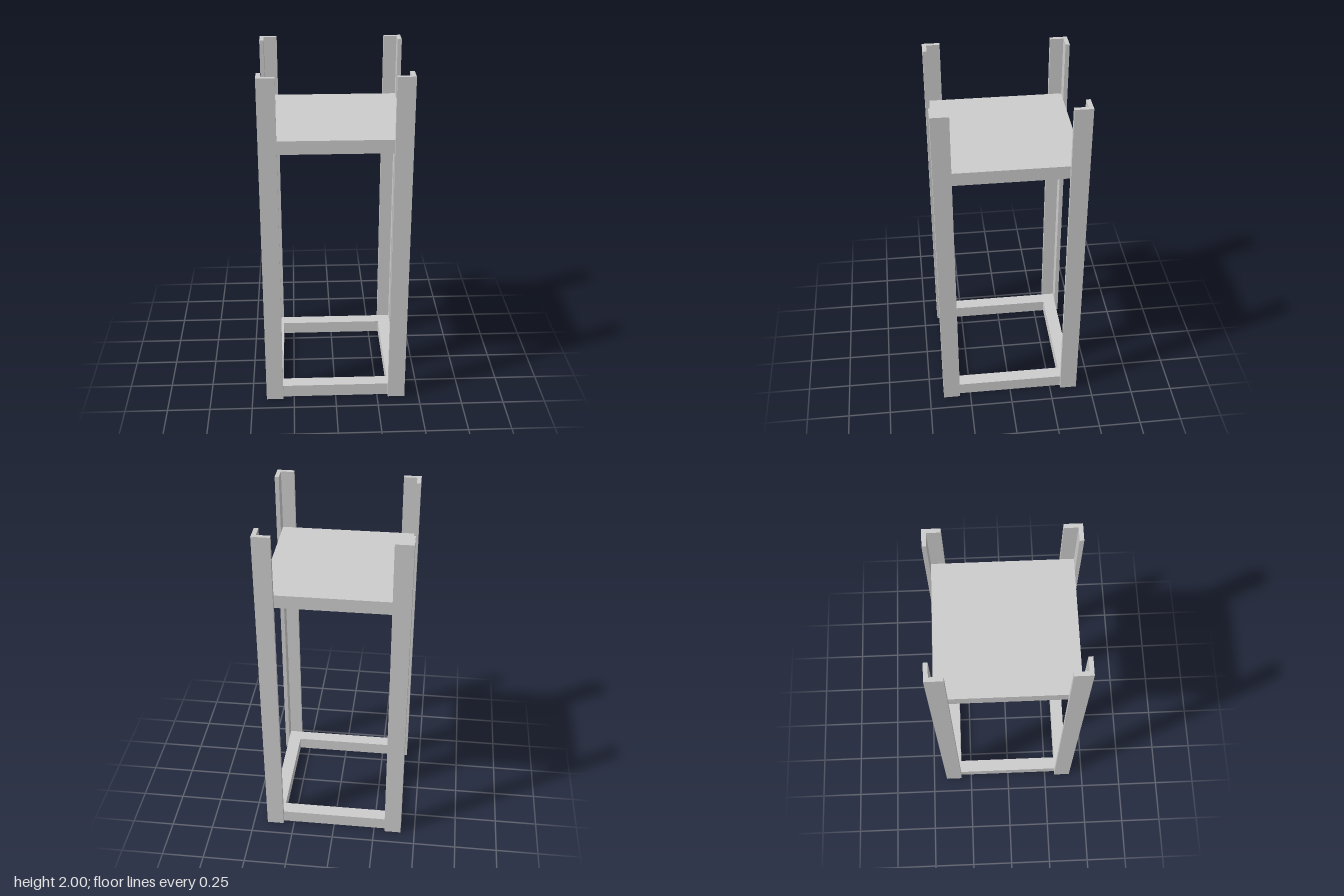
import * as THREE from 'three';

const HEIGHT = 2, OUTER = 0.415, THICK = 0.024, FLANGE = 0.1;
const INNER = OUTER - THICK; // half width of shelf and base frame
const BAR = 0.077;

const material = new THREE.MeshStandardMaterial({ color: 0xcccccc });

function polygon(points) {
  return new THREE.Shape(points.map(([x, y]) => new THREE.Vector2(x, y)));
}

// Extrudes a plan outline upward from y = 0
function extrudeUp(shape, height) {
  const geometry = new THREE.ExtrudeGeometry(shape, { depth: height, bevelEnabled: false });
  return geometry.rotateX(-Math.PI / 2);
}

function addPart(group, name, geometry, y = 0) {
  const mesh = new THREE.Mesh(geometry, material);
  mesh.name = name;
  mesh.position.y = y;
  group.add(mesh);
  return mesh;
}

export function createModel() {
  const group = new THREE.Group();
  group.name = 'shelfStand';

  // L-shaped corner posts, turned a quarter each time
  const f = OUTER - FLANGE;
  const angle = polygon([
    [OUTER, OUTER], [f, OUTER], [f, INNER], [INNER, INNER], [INNER, f], [OUTER, f],
  ]);
  const postGeometry = extrudeUp(angle, HEIGHT);
  ['backLeftPost', 'backRightPost', 'frontRightPost', 'frontLeftPost'].forEach((name, i) => {
    addPart(group, name, postGeometry).rotation.y = i * Math.PI / 2;
  });

  // Open square base frame
  const square = (h) => [[-h, -h], [h, -h], [h, h], [-h, h]];
  const frame = polygon(square(INNER));
  frame.holes.push(polygon(square(INNER - BAR)));
  addPart(group, 'baseFrame', extrudeUp(frame, BAR));

  // Solid shelf held between the posts
  addPart(group, 'shelf', new THREE.BoxGeometry(INNER * 2, BAR, INNER * 2), 1.57 + BAR / 2);

  return group;
}
